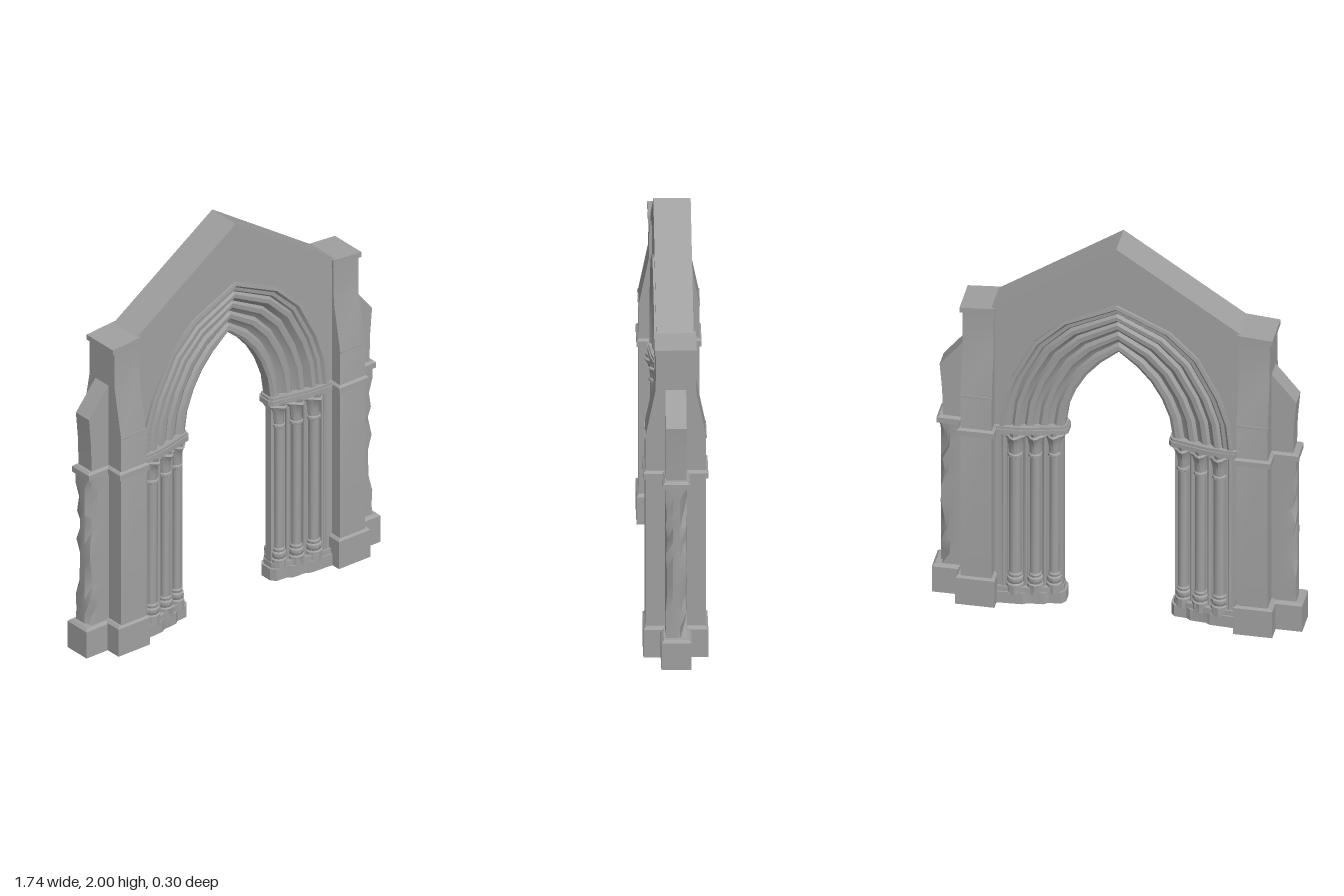
import * as THREE from 'three';
import { toCreasedNormals } from 'three/addons/utils/BufferGeometryUtils.js';

const stone = new THREE.MeshStandardMaterial({ color: 0xa0a0a0 });
stone.name = 'grey stone';

function add(parent, name, geometry, crease = 0.5) {
  const mesh = new THREE.Mesh(toCreasedNormals(geometry, crease), stone);
  mesh.name = name;
  parent.add(mesh);
  return mesh;
}

// Extrude an outline by a depth, centred on z = 0
function slab(points, depth) {
  const shape = new THREE.Shape(points.map(([x, y]) => new THREE.Vector2(x, y)));
  return new THREE.ExtrudeGeometry(shape, { depth, bevelEnabled: false }).translate(0, 0, -depth / 2);
}

// Extrude half a plan (x, z), mirrored front to back, upwards from y0 to y1
function planBlock(half, y0, y1) {
  const back = half.map(([x, z]) => [x, -z]).reverse();
  return slab([...half, ...back], y1 - y0).rotateX(-Math.PI / 2).translate(0, (y0 + y1) / 2, 0);
}

// Block with a chamfered top
function block(x0, x1, y0, y1, z, bevel = 0.012) {
  const g = new THREE.BoxGeometry(x1 - x0, y1 - y0, 2 * z, 1, 2, 1);
  const p = g.attributes.position;
  for (let i = 0; i < p.count; i++) {
    const y = p.getY(i), h = (y1 - y0) / 2;
    if (Math.abs(y) < 1e-4) p.setY(i, h - bevel);
    else if (y > 0) {
      p.setX(i, p.getX(i) - Math.sign(p.getX(i)) * bevel);
      p.setZ(i, p.getZ(i) - Math.sign(p.getZ(i)) * bevel);
    }
  }
  return g.translate((x0 + x1) / 2, (y0 + y1) / 2, 0);
}

// Shaft whose outer corners are worn irregularly
function wornShaft(x0, x1, y0, y1, z, wear) {
  const g = new THREE.BoxGeometry(x1 - x0, y1 - y0, 2 * z, 3, 11, 3);
  g.translate((x0 + x1) / 2, (y0 + y1) / 2, 0);
  const p = g.attributes.position;
  for (let i = 0; i < p.count; i++) {
    const x = p.getX(i), y = p.getY(i), pz = p.getZ(i);
    const corner = x > x1 - 1e-4 && Math.abs(pz) > z - 1e-4;
    if (!corner || y < y0 + 0.01 || y > y1 - 0.01) continue;
    const s = Math.sin(y * 91.7 + Math.sign(pz) * 2.3) * 437.5;
    const chip = wear * Math.pow(s - Math.floor(s), 2);
    p.setX(i, x - chip);
    p.setZ(i, pz * (1 - 0.35 * chip / z));
  }
  return g;
}

// Outer and inner lines of the pointed arch, from springing to apex
const OUTER = [[0.55, 0.955], [0.535, 1.1], [0.49, 1.24], [0.385, 1.445], [0.25, 1.575], [0, 1.69]];
const INNER = [[0.255, 0.955], [0.238, 1.07], [0.2, 1.17], [0.15, 1.255], [0.085, 1.33], [0, 1.4]];

function archLine(t) {
  const half = OUTER.map(([x, y], i) => [x + (INNER[i][0] - x) * t, y + (INNER[i][1] - y) * t]);
  return [...half, ...half.slice(0, -1).reverse().map(([x, y]) => [-x, y])];
}

// Moulded arch: profile of (inward fraction, z) swept between the two lines
function mouldedArch() {
  const front = [
    [0, 0.06], [0, 0.09], [0.06, 0.092], [0.1, 0.079], [0.16, 0.077], [0.19, 0.066],
    [0.23, 0.08], [0.3, 0.078], [0.34, 0.063], [0.38, 0.05], [0.42, 0.064], [0.5, 0.061],
    [0.54, 0.046], [0.59, 0.036], [0.64, 0.049], [0.72, 0.046], [0.76, 0.032], [0.82, 0.022],
    [0.87, 0.036], [0.95, 0.036], [1, 0.026],
  ];
  const ring = [...front, ...front.map(([t, z]) => [t, -z]).reverse()];
  const lines = ring.map(([t]) => archLine(t));
  const n = ring.length, stations = lines[0].length;
  const pos = [], index = [];
  for (let i = 0; i < stations; i++) {
    for (let k = 0; k < n; k++) pos.push(lines[k][i][0], lines[k][i][1], ring[k][1]);
  }
  for (let i = 0; i < stations - 1; i++) {
    for (let k = 0; k < n; k++) {
      const a = i * n + k, d = i * n + (k + 1) % n;
      index.push(a, a + n, d, a + n, d + n, d);
    }
  }
  const g = new THREE.BufferGeometry();
  g.setAttribute('position', new THREE.Float32BufferAttribute(pos, 3));
  g.setIndex(index);
  return g;
}

const lathe = (pts, sides) => new THREE.LatheGeometry(pts.map(([r, y]) => new THREE.Vector2(r, y)), sides);

// Shaft with moulded base and leafy capital
function column(parent, x, z, r) {
  const group = new THREE.Group();
  group.name = 'column';
  group.position.set(x, 0, z);
  add(group, 'columnShaft', new THREE.CylinderGeometry(r, r, 0.68, 10, 1, true).translate(0, 0.47, 0), 0.8);
  add(group, 'columnBase', lathe([[r + 0.014, 0.05], [r + 0.014, 0.1], [r + 0.006, 0.105], [r + 0.013, 0.12],
    [r + 0.011, 0.135], [r + 0.003, 0.14], [r + 0.006, 0.152], [r, 0.16]], 10), 0.6);
  add(group, 'necking', lathe([[r, 0.793], [r + 0.007, 0.798], [r + 0.007, 0.81], [r, 0.816]], 10), 0.6);
  const capital = lathe([[r, 0.805], [r + 0.002, 0.85], [r + 0.008, 0.885], [r + 0.02, 0.91],
    [r + 0.011, 0.918], [r + 0.014, 0.935]], 16);
  const p = capital.attributes.position;
  for (let i = 0; i < p.count; i++) {
    const lift = Math.max(0, (p.getY(i) - 0.83) / 0.1);
    const s = 1 + 0.22 * lift * Math.cos(4 * Math.atan2(p.getZ(i), p.getX(i)));
    p.setX(i, p.getX(i) * s);
    p.setZ(i, p.getZ(i) * s);
  }
  add(group, 'capital', capital, 0.5);
  parent.add(group);
}

// One pier with its buttresses and columns, on the +x side
function pier(name) {
  const g = new THREE.Group();
  g.name = name;

  // Main buttress with sloped set-offs front and back
  const half = [[0.14, 0.1], [0.14, 1.14], [0.093, 1.38], [0.09, 1.58]];
  const profile = [...half, ...half.map(([z, y]) => [-z, y]).reverse()];
  add(g, 'buttress', slab(profile, 0.147).rotateY(Math.PI / 2).translate(0.6485, 0, 0));
  for (const s of [1, -1]) {
    add(g, 'setOffLip', new THREE.BoxGeometry(0.151, 0.012, 0.01).translate(0.6485, 1.138, s * 0.138));
  }
  add(g, 'buttressBase', block(0.56, 0.745, 0, 0.155, 0.15));
  add(g, 'buttressCap', slab([[0.57, 1.568], [0.735, 1.568], [0.735, 1.594], [0.57, 1.607]], 0.194));

  // Side buttress with worn edges and a sloped head
  add(g, 'sideButtress', wornShaft(0.7, 0.838, 0.13, 0.94, 0.05, 0.05));
  add(g, 'sideButtressHead', slab([[0.69, 0.94], [0.822, 0.94], [0.826, 1.1], [0.838, 1.24], [0.72, 1.385], [0.69, 1.385]], 0.096));
  add(g, 'sideButtressBase', block(0.7, 0.87, 0, 0.15, 0.07));

  // String course around both buttresses
  add(g, 'stringCourse', block(0.562, 0.737, 0.926, 0.964, 0.15, 0.01));
  add(g, 'sideStringCourse', block(0.7, 0.85, 0.926, 0.964, 0.062, 0.01));

  // Stepped jamb with plinth and abacus
  add(g, 'jamb', planBlock([[0.6, 0.078], [0.515, 0.078], [0.515, 0.056], [0.43, 0.056], [0.43, 0.036],
    [0.345, 0.036], [0.345, 0.02], [0.262, 0.02]], 0.03, 0.95));
  add(g, 'plinth', planBlock([[0.6, 0.105], [0.53, 0.1], [0.44, 0.095], [0.42, 0.082], [0.345, 0.076],
    [0.325, 0.06], [0.265, 0.055], [0.247, 0.03]], 0, 0.06));
  add(g, 'upperPlinth', planBlock([[0.6, 0.093], [0.44, 0.089], [0.35, 0.067], [0.27, 0.045], [0.258, 0.025]], 0.05, 0.085));
  add(g, 'abacus', planBlock([[0.6, 0.1], [0.51, 0.1], [0.425, 0.092], [0.335, 0.07], [0.25, 0.05], [0.236, 0.03]], 0.926, 0.952));
  add(g, 'abacusFillet', planBlock([[0.6, 0.095], [0.51, 0.095], [0.425, 0.086], [0.335, 0.064], [0.255, 0.044], [0.243, 0.026]], 0.95, 0.965));

  // Columns in the steps, with thin shafts between them
  for (const s of [1, -1]) {
    for (const [x, z, r] of [[0.48, 0.06, 0.029], [0.388, 0.047, 0.026], [0.303, 0.025, 0.024]]) column(g, x, s * z, r);
    for (const [x, z] of [[0.532, 0.076], [0.432, 0.055], [0.346, 0.036]]) {
      add(g, 'thinShaft', new THREE.CylinderGeometry(0.01, 0.01, 0.85, 8, 1, true).translate(x, 0.505, s * z), 0.9);
    }
  }
  return g;
}

export function createModel() {
  const model = new THREE.Group();
  model.name = 'gothicArchway';

  // Gabled wall around the opening
  const opening = archLine(0.05);
  add(model, 'gableWall', slab([[0.6, 0.03], [0.6, 1.575], [0, 1.98], [-0.6, 1.575], [-0.6, 0.03],
    [-0.535, 0.03], ...opening.slice().reverse(), [0.535, 0.03]], 0.156));

  // Two-step coping along the gable
  const chevron = (top, low) => [[0, 2 - top], [-0.595, 1.6 - top], [-0.595, 1.6 - low], [0, 2 - low], [0.595, 1.6 - low], [0.595, 1.6 - top]];
  add(model, 'coping', slab(chevron(0, 0.038), 0.172));
  add(model, 'copingMoulding', slab(chevron(0.03, 0.06), 0.163));

  add(model, 'archMouldings', mouldedArch(), 0.45);

  // Two piers, the second turned half a circle
  model.add(pier('leftPier'));
  const right = pier('rightPier');
  right.rotation.y = Math.PI;
  model.add(right);
  return model;
}
